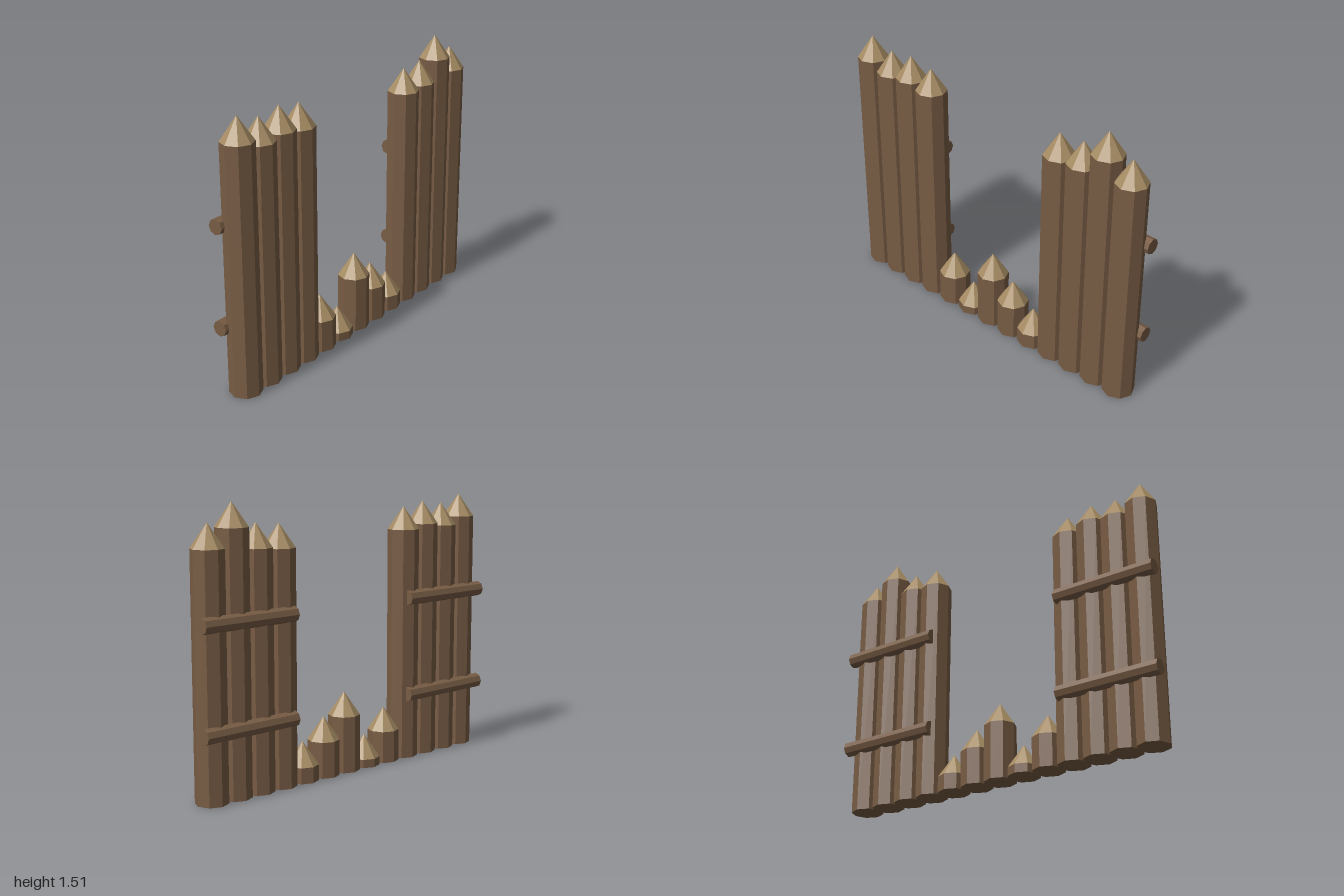
import * as THREE from 'three';

const SIDES = 8;
const POST_RADIUS = 0.0875;
const TIP_HEIGHT = 0.128;
const SPACING = 0.1505;
const POST_Z = 0.016;

// Shaft heights from the model's right (-x) to its left (+x)
const HEIGHTS = [1.35, 1.307, 1.324, 1.3, 0.178, 0.047, 0.312, 0.198, 0.087, 1.26, 1.271, 1.383, 1.287];

export function createModel() {
  const group = new THREE.Group();
  group.name = 'brokenPalisade';

  const bark = new THREE.MeshStandardMaterial({ color: 0x785c44, flatShading: true });
  bark.name = 'bark brown';
  const cutWood = new THREE.MeshStandardMaterial({ color: 0xa58b63, flatShading: true });
  cutWood.name = 'cut wood tan';

  const add = (parent, name, geometry, material, x, y, z) => {
    const mesh = new THREE.Mesh(geometry, material);
    mesh.name = name;
    mesh.position.set(x, y, z);
    parent.add(mesh);
    return mesh;
  };

  // Sharpened stakes, with a broken gap of short ones in the middle
  const tip = new THREE.ConeGeometry(POST_RADIUS, TIP_HEIGHT, SIDES, 1, true);
  HEIGHTS.forEach((height, i) => {
    const stake = new THREE.Group();
    stake.name = 'stake';
    stake.position.set((i - (HEIGHTS.length - 1) / 2) * SPACING, 0, POST_Z);
    const shaft = new THREE.CylinderGeometry(POST_RADIUS, POST_RADIUS, height, SIDES);
    add(stake, 'shaft', shaft, bark, 0, height / 2, 0);
    add(stake, 'tip', tip, cutWood, 0, height + TIP_HEIGHT / 2, 0);
    group.add(stake);
  });

  // Two cross rails behind each standing section
  const railLength = 0.588;
  const rail = new THREE.CylinderGeometry(0.042, 0.042, railLength, SIDES).rotateZ(Math.PI / 2);
  for (const side of [-1, 1]) {
    for (const y of [0.371, 0.922]) {
      add(group, side > 0 ? 'leftRail' : 'rightRail', rail, bark, side * (1 - railLength / 2), y, -0.058);
    }
  }

  return group;
}
